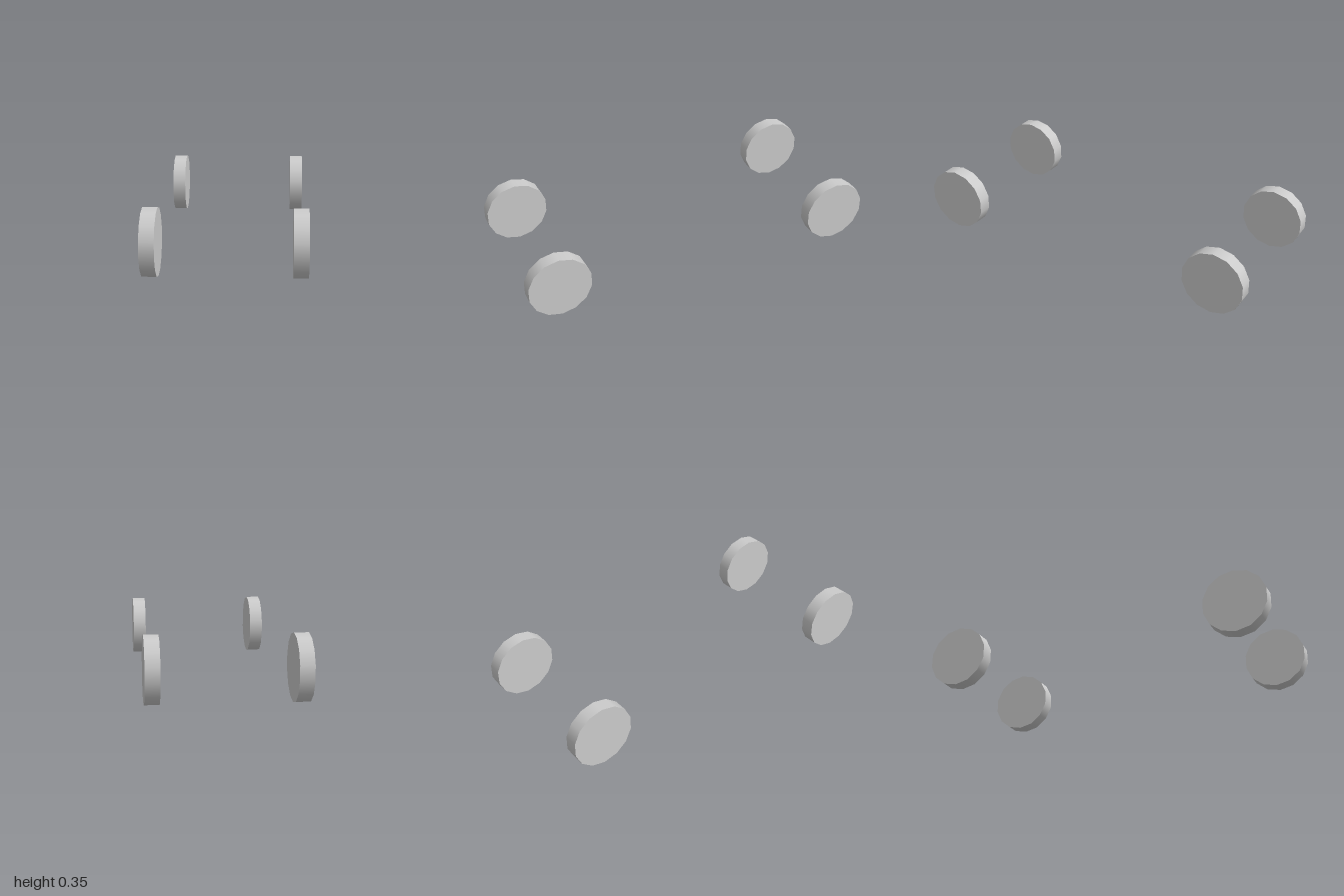
import * as THREE from 'three';

export function createModel() {
  const model = new THREE.Group();
  model.name = 'wheelSet';
  const material = new THREE.MeshStandardMaterial({ color: 0xcccccc });

  // Fourteen-sided disc on the x axis, with a corner at top and bottom
  const radius = 0.176, width = 0.076, sides = 14;
  const disc = new THREE.CylinderGeometry(radius, radius, width, sides, 1, false, Math.PI / 2);
  disc.rotateZ(Math.PI / 2);

  // One wheel at each corner
  for (const [end, sz] of [['front', 1], ['back', -1]]) {
    for (const [side, sx] of [['Left', 1], ['Right', -1]]) {
      const wheel = new THREE.Mesh(disc, material);
      wheel.name = `${end}${side}Wheel`;
      wheel.position.set(sx * 0.374, radius, sz * 0.828);
      model.add(wheel);
    }
  }
  return model;
}
